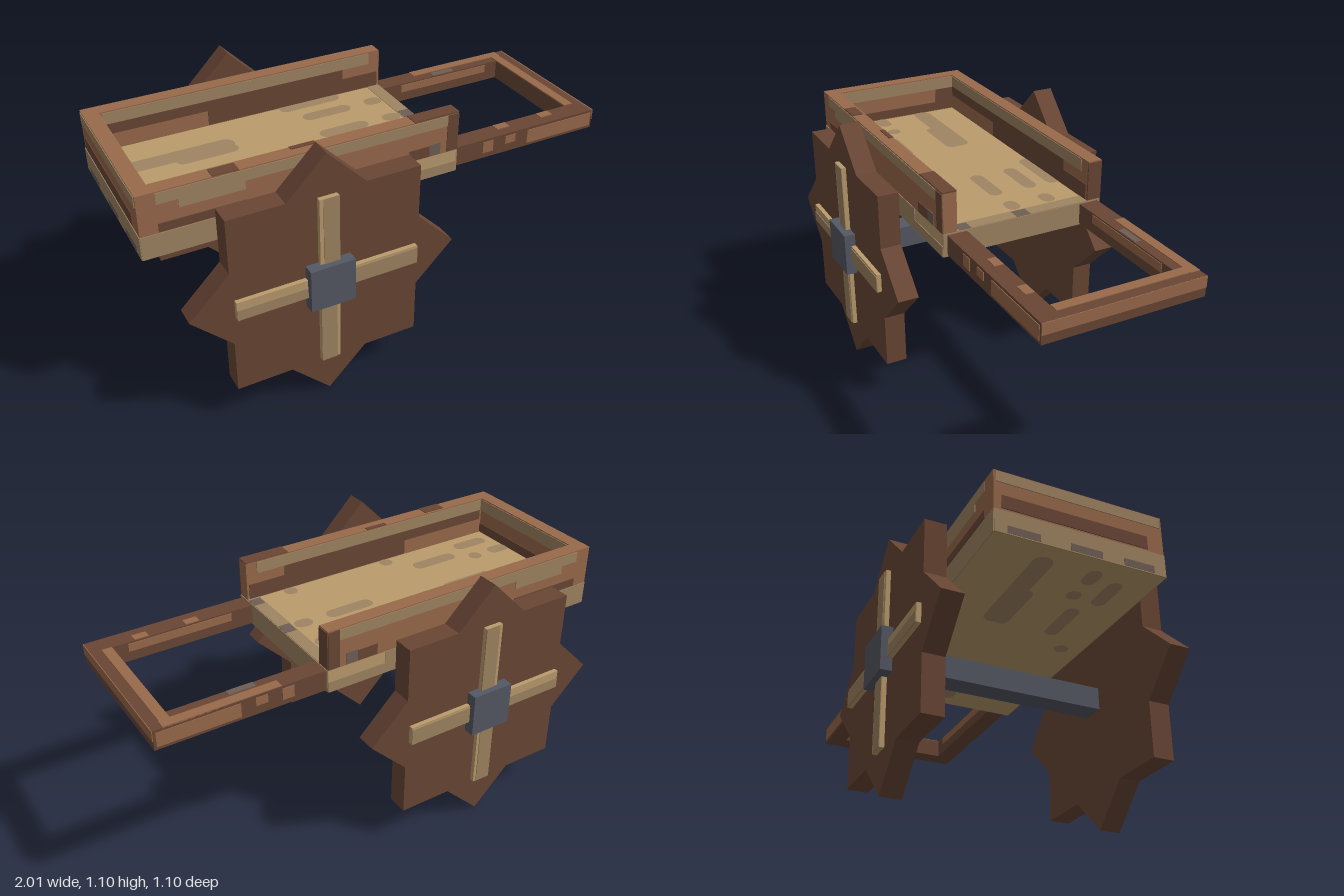
import * as THREE from 'three';

const mat = (name, color) => Object.assign(new THREE.MeshStandardMaterial({ color }), { name });

export function createModel() {
  const model = new THREE.Group();
  model.name = 'handCart';
  const darkWood = mat('darkWood', 0x694635);
  const redWood = mat('redWood', 0x98694a);
  const paleWood = mat('paleWood', 0xbb9b6d);
  const wornWood = mat('wornWood', 0x9f8462);
  const greyWood = mat('greyWood', 0x6f5f55);
  const iron = mat('iron', 0x545863);

  const add = (parent, name, geometry, material) => {
    const mesh = new THREE.Mesh(geometry, material);
    mesh.name = name;
    parent.add(mesh);
    return mesh;
  };
  // Box given by its limits on each axis
  const box = (parent, name, material, x0, x1, y0, y1, z0, z1) => {
    const mesh = add(parent, name, new THREE.BoxGeometry(x1 - x0, y1 - y0, z1 - z0), material);
    mesh.position.set((x0 + x1) / 2, (y0 + y1) / 2, (z0 + z1) / 2);
    return mesh;
  };
  // Thin painted plates lying on a plane across one axis
  const T = 0.003;
  const plateX = (name, m, x, y0, y1, z0, z1) => box(model, name, m, x - T, x + T, y0, y1, z0, z1);
  const plateY = (name, m, y, x0, x1, z0, z1) => box(model, name, m, x0, x1, y - T, y + T, z0, z1);
  const plateZ = (name, m, z, x0, x1, y0, y1) => box(model, name, m, x0, x1, y0, y1, z - T, z + T);

  // Cart bed
  const floorY = 0.866, rimY = 1.035;
  box(model, 'floor', paleWood, -1, 0.3, 0.77, floorY, -0.35, 0.35);
  box(model, 'frontWall', redWood, -1, 0.3, floorY, rimY, 0.29, 0.35);
  box(model, 'backWall', redWood, -1, 0.3, floorY, rimY, -0.35, -0.29);
  box(model, 'endWall', redWood, -1, -0.94, floorY, rimY, -0.29, 0.29);

  // Weathering on the outer and inner long walls
  for (const s of [-1, 1]) {
    const out = s * 0.35, inner = s * 0.29;
    plateZ('outerWornStrip', wornWood, out, -0.93, 0.25, 0.985, 1.03);
    plateZ('outerWornDrip', wornWood, out, -0.85, -0.6, 0.95, 0.985);
    plateZ('outerDarkEnd', darkWood, out, 0.25, 0.3, 0.87, 1.03);
    plateZ('outerDarkPatch', darkWood, out, -0.93, -0.6, 0.87, 0.905);
    plateZ('outerDarkPatch', darkWood, out, 0.08, 0.17, 0.87, 0.915);
    plateZ('outerGreyPatch', greyWood, out, 0.17, 0.22, 0.87, 0.92);
    plateZ('floorWornEdge', wornWood, out, -1, 0.04, 0.77, 0.866);
    plateZ('floorWornEdge', wornWood, out, 0.04, 0.3, 0.77, 0.815);
    plateZ('innerWornStrip', wornWood, inner, -0.93, 0.25, 0.98, 1.03);
    plateZ('innerDarkBand', darkWood, inner, -0.93, 0.12, 0.935, 0.98);
    plateZ('innerDarkBand', darkWood, inner, -0.5, 0.29, 0.87, 0.935);
  }

  // Weathering on the closed end, wall ends and rim
  plateX('innerEndWornStrip', wornWood, -0.94, 0.975, 1.03, -0.29, 0.29);
  plateX('innerEndDarkStrip', darkWood, -0.94, 0.87, 0.91, -0.29, 0.29);
  plateX('innerEndDarkCorner', darkWood, -0.94, 0.91, 0.975, -0.29, -0.2);
  plateX('outerEndWornStrip', wornWood, -1, 0.985, 1.03, -0.34, 0.34);
  plateX('outerEndDarkStrip', darkWood, -1, 0.875, 0.93, -0.32, 0.28);
  plateX('floorEndWornEdge', wornWood, -1, 0.77, 0.866, -0.35, 0.35);
  for (const z of [-0.3, -0.05, 0.17]) plateX('floorEndGreyPatch', greyWood, -1.001, 0.775, 0.805, z, z + 0.13);
  plateX('backWallDarkEnd', darkWood, 0.3, 0.87, 1.03, -0.35, -0.29);
  plateX('floorOpenEdge', wornWood, 0.3, 0.77, 0.866, -0.35, 0.35);
  plateY('rimDarkPatch', darkWood, rimY, -0.72, -0.62, 0.3, 0.35);
  plateY('rimDarkPatch', darkWood, rimY, 0.1, 0.3, 0.29, 0.35);
  plateY('rimDarkPatch', darkWood, rimY, -0.4, -0.3, 0.29, 0.31);

  // Rounded knots on the floor boards: x0, x1, z centre, width
  const knots = [
    [-0.94, -0.46, -0.11, 0.08], [-0.72, -0.46, -0.07, 0.06], [-0.19, 0.09, -0.27, 0.06],
    [-0.13, 0.09, -0.16, 0.06], [-0.13, 0.09, 0, 0.06], [0.16, 0.24, -0.16, 0.06],
    [0.16, 0.24, 0, 0.06], [-0.94, -0.84, 0.1, 0.06], [-0.79, -0.73, 0.1, 0.06],
    [-0.68, -0.46, 0.155, 0.06], [-0.9, -0.73, 0.21, 0.06], [-0.41, -0.35, 0.26, 0.06],
    [0.08, 0.14, 0.26, 0.06],
  ];
  const knotShape = (x0, x1, w) => {
    const r = w / 2, shape = new THREE.Shape();
    shape.absarc(x1 - r, 0, r, -Math.PI / 2, Math.PI / 2);
    shape.absarc(x0 + r, 0, r, Math.PI / 2, Math.PI * 1.5);
    return new THREE.ShapeGeometry(shape, 6);
  };
  for (const [x0, x1, z, w] of knots) {
    for (const up of [1, -1]) {
      const knot = add(model, 'floorKnot', knotShape(x0, x1, w), wornWood);
      knot.rotation.x = -up * Math.PI / 2;
      knot.position.set(0, up > 0 ? floorY + 0.003 : 0.767, z);
    }
  }
  plateY('floorWornLip', wornWood, floorY - 0.001, 0.245, 0.3, -0.29, 0.29);
  plateY('floorGreyPatch', greyWood, floorY, 0.25, 0.3, -0.03, 0.03);
  plateY('floorGreyPatch', greyWood, floorY, 0.25, 0.3, 0.23, 0.28);

  // Pull handle
  const h0 = 0.777, h1 = 0.861;
  box(model, 'backHandleArm', darkWood, 0.3, 0.92, h0, h1, -0.337, -0.255);
  box(model, 'frontHandleArm', darkWood, 0.3, 0.92, h0, h1, 0.25, 0.333);
  box(model, 'handleBar', darkWood, 0.915, 1, h0, h1, -0.337, 0.333);
  plateY('backArmRedTop', redWood, h1, 0.49, 0.96, -0.337, -0.295);
  plateY('backArmGreyPatch', greyWood, h1, 0.57, 0.68, -0.285, -0.257);
  plateY('barRedTop', redWood, h1, 0.915, 0.957, -0.295, 0.25);
  for (const x of [0.54, 0.76]) plateY('frontArmRedSpot', redWood, h1, x, x + 0.06, 0.253, 0.29);
  plateX('barRedFace', redWood, 1, 0.815, h1, -0.337, 0.333);
  for (const z of [0.333, -0.337]) {
    plateZ('armRedSide', redWood, z, 0.66, 0.99, 0.79, 0.85);
    plateZ('armRedSpot', redWood, z, 0.44, 0.49, 0.8, 0.85);
    plateZ('armRedSpot', redWood, z, 0.55, 0.6, 0.815, 0.85);
  }
  for (const z of [0.25, -0.255]) plateZ('armRedInside', redWood, z, 0.4, 0.85, 0.82, 0.855);

  // Axle
  const cx = -0.352, cy = 0.558;
  box(model, 'axle', iron, cx - 0.048, cx + 0.048, cy - 0.048, cy + 0.048, -0.42, 0.42);

  // Eight-pointed wheels with crossed spokes and a square hub
  const points = [];
  for (let i = 0; i < 16; i++) {
    const r = i % 2 ? 0.39 / Math.cos(Math.PI / 8) : 0.552;
    const a = i * Math.PI / 8;
    points.push(new THREE.Vector2(r * Math.cos(a), r * Math.sin(a)));
  }
  const disc = new THREE.ExtrudeGeometry(new THREE.Shape(points), { depth: 0.088, bevelEnabled: false });
  for (const side of [1, -1]) {
    const wheel = new THREE.Group();
    wheel.name = side > 0 ? 'frontWheel' : 'backWheel';
    wheel.position.set(cx, cy, 0);
    add(wheel, 'wheelDisc', disc, darkWood).position.z = side > 0 ? 0.415 : -0.503;
    const part = (name, m, x0, x1, y0, y1, z0, z1) =>
      box(wheel, name, m, x0, x1, y0, y1, side > 0 ? z0 : -z1, side > 0 ? z1 : -z0);
    part('uprightSpoke', paleWood, -0.04, 0.04, -0.378, 0.378, 0.5, 0.522);
    part('levelSpoke', paleWood, -0.378, 0.378, -0.04, 0.04, 0.5, 0.522);
    part('uprightSpokeWear', wornWood, -0.025, 0.04, 0.09, 0.378, 0.521, 0.525);
    part('uprightSpokeWear', wornWood, -0.04, 0.027, -0.378, -0.09, 0.521, 0.525);
    part('levelSpokeWear', wornWood, 0.09, 0.378, -0.04, 0.03, 0.521, 0.525);
    part('levelSpokeWear', wornWood, -0.378, -0.09, -0.04, 0.005, 0.521, 0.525);
    part('hub', iron, -0.093, 0.093, -0.093, 0.093, 0.5, 0.55);
    model.add(wheel);
  }
  return model;
}
